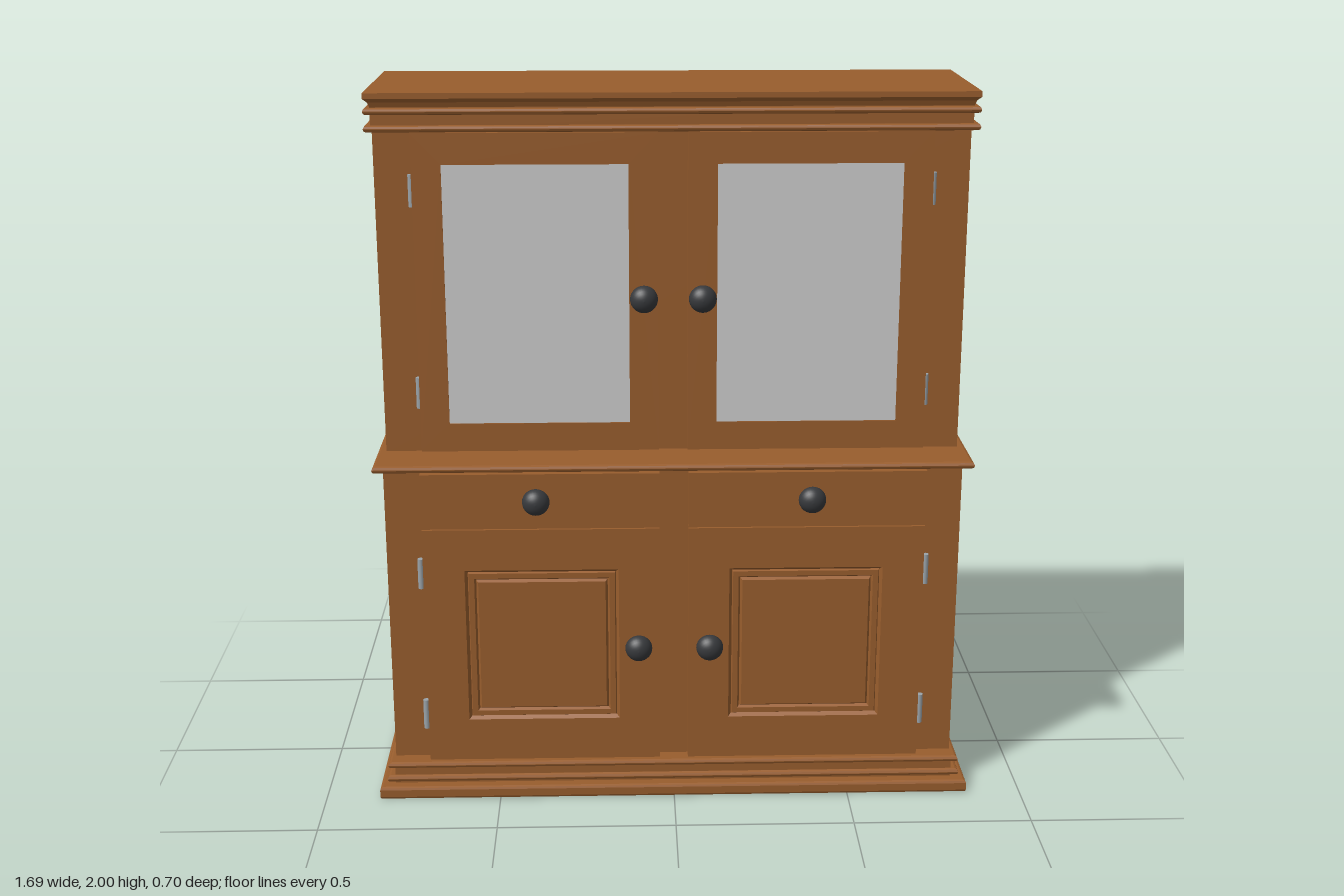
import * as THREE from 'three';

const mat = (name, color) => {
  const m = new THREE.MeshStandardMaterial({ color });
  m.name = name;
  return m;
};

// Skin through rectangular rings [halfX, backZ, frontZ, y], bottom to top; flat faces
function loft(rings, bottomCap = true) {
  const pos = [];
  const pts = rings.map(([hx, zb, zf, y]) => [[-hx, y, zf], [hx, y, zf], [hx, y, zb], [-hx, y, zb]]);
  const quad = (a, b, c, d) => pos.push(...a, ...b, ...c, ...a, ...c, ...d);
  for (let r = 0; r < pts.length - 1; r++) {
    for (let i = 0; i < 4; i++) {
      const j = (i + 1) % 4;
      quad(pts[r][i], pts[r][j], pts[r + 1][j], pts[r + 1][i]);
    }
  }
  const t = pts[pts.length - 1], b = pts[0];
  quad(t[0], t[1], t[2], t[3]);
  if (bottomCap) quad(b[3], b[2], b[1], b[0]);
  const g = new THREE.BufferGeometry();
  g.setAttribute('position', new THREE.Float32BufferAttribute(pos, 3));
  g.computeVertexNormals();
  return g;
}

// Slab around the cabinet with a rounded edge of the given radius
function roundedSlab(hx, zb, zf, y0, y1, e) {
  const k = e * 0.3;
  return loft([
    [hx - e, zb + e, zf - e, y0], [hx - k, zb + k, zf - k, y0 + k], [hx, zb, zf, y0 + e],
    [hx, zb, zf, y1 - e], [hx - k, zb + k, zf - k, y1 - k], [hx - e, zb + e, zf - e, y1],
  ]);
}

// Door leaf with a rectangular opening, centred on its own origin, back at z = 0
function doorLeaf(w, h, hw, hh, holeY, depth) {
  const rect = (P, a, b, y) => {
    const p = new P();
    p.moveTo(-a / 2, y - b / 2);
    p.lineTo(a / 2, y - b / 2);
    p.lineTo(a / 2, y + b / 2);
    p.lineTo(-a / 2, y + b / 2);
    p.closePath();
    return p;
  };
  const s = rect(THREE.Shape, w, h, 0);
  s.holes.push(rect(THREE.Path, hw, hh, holeY));
  return new THREE.ExtrudeGeometry(s, { depth, bevelEnabled: false });
}

export function createModel() {
  const root = new THREE.Group();
  root.name = 'dresser';
  const wood = mat('wood', 0x985d2d);
  const glass = mat('glass', 0xcdcdcd);
  const iron = mat('dark iron', 0x37393c);
  const steel = mat('hinge steel', 0x9aa3a9);

  const add = (name, geo, material, x = 0, y = 0, z = 0) => {
    const m = new THREE.Mesh(geo, material);
    m.name = name;
    m.position.set(x, y, z);
    root.add(m);
    return m;
  };
  const box = (name, x0, x1, y0, y1, z0, z1, material = wood) =>
    add(name, new THREE.BoxGeometry(x1 - x0, y1 - y0, z1 - z0), material,
      (x0 + x1) / 2, (y0 + y1) / 2, (z0 + z1) / 2);

  // Carcasses
  const back = -0.3;
  box('lowerCabinet', -0.803, 0.803, 0.1, 0.985, back, 0.26);
  box('upperCabinet', -0.803, 0.803, 0.995, 1.9, back, 0.163);

  // Plinth and base mouldings
  add('base', roundedSlab(0.845, -0.349, 0.328, 0, 0.037, 0.008), wood);
  box('plinth', -0.803, 0.803, 0.03, 0.105, back, 0.295);
  add('lowerBaseMoulding', roundedSlab(0.825, -0.318, 0.305, 0.042, 0.062, 0.009), wood);
  add('upperBaseMoulding', roundedSlab(0.82, -0.318, 0.311, 0.088, 0.106, 0.008), wood);

  // Worktop
  add('worktop', roundedSlab(0.828, -0.314, 0.311, 0.98, 1.0, 0.009), wood);

  // Cornice
  box('corniceCore', -0.803, 0.803, 1.895, 1.975, back, 0.192);
  for (const y of [1.905, 1.951]) {
    add('corniceMoulding', roundedSlab(0.821, -0.313, 0.204, y - 0.009, y + 0.009, 0.008), wood);
  }
  add('corniceCap', loft([
    [0.803, -0.298, 0.192, 1.962], [0.808, -0.301, 0.197, 1.975],
    [0.82, -0.306, 0.203, 1.985], [0.82, -0.306, 0.203, 2],
  ]), wood);

  // Shared shapes: domed knob on a stem, raised panel, hinge barrel
  const knobProfile = [[0.016, 0], [0.012, 0.006], [0.012, 0.018], [0.034, 0.019], [0.038, 0.022]]
    .map(([r, y]) => new THREE.Vector2(r, y));
  for (let i = 1; i <= 8; i++) {
    const a = (i / 8) * Math.PI / 2;
    knobProfile.push(new THREE.Vector2(0.038 * Math.cos(a), 0.022 + 0.033 * Math.sin(a)));
  }
  const knobGeo = new THREE.LatheGeometry(knobProfile, 28).rotateX(Math.PI / 2);
  const hingeGeo = new THREE.CylinderGeometry(0.009, 0.009, 0.088, 12);
  const panelGeo = loft(
    [[0, 0], [0.008, -0.01], [0.011, -0.004], [0.026, -0.004], [0.031, -0.012], [0.037, -0.003]]
      .map(([inset, d]) => [0.215 - inset, -0.2275 + inset, 0.2275 - inset, d]), false)
    .rotateX(Math.PI / 2);

  const upperLeaf = doorLeaf(0.66, 0.885, 0.5, 0.72, -0.0025, 0.04);
  const lowerLeaf = doorLeaf(0.66, 0.7, 0.43, 0.455, 0.0025, 0.037);

  for (const s of [1, -1]) {
    const side = s > 0 ? 'left' : 'right';
    const cx = s * 0.37;

    // Glazed upper door
    add(side + 'GlazedDoor', upperLeaf, wood, cx, 1.4525, 0.162);
    box(side + 'GlassPane', cx - 0.25, cx + 0.25, 1.09, 1.81, 0.191, 0.199, glass);

    // Panelled lower door and drawer front
    add(side + 'PanelDoor', lowerLeaf, wood, cx, 0.46, 0.26);
    add(side + 'DoorPanel', panelGeo, wood, cx, 0.4625, 0.297);
    box(side + 'DrawerFront', cx - 0.33, cx + 0.33, 0.813, 0.972, 0.258, 0.297);

    // Knobs
    add(side + 'UpperDoorKnob', knobGeo, iron, s * 0.08, 1.445, 0.2);
    add(side + 'DrawerKnob', knobGeo, iron, s * 0.381, 0.898, 0.295);
    add(side + 'LowerDoorKnob', knobGeo, iron, s * 0.1, 0.46, 0.295);

    // Hinges on the outer door edges
    for (const y of [1.737, 1.173]) add(side + 'UpperHinge', hingeGeo, steel, s * 0.703, y, 0.176);
    for (const y of [0.675, 0.245]) add(side + 'LowerHinge', hingeGeo, steel, s * 0.708, y, 0.275);
  }
  return root;
}
